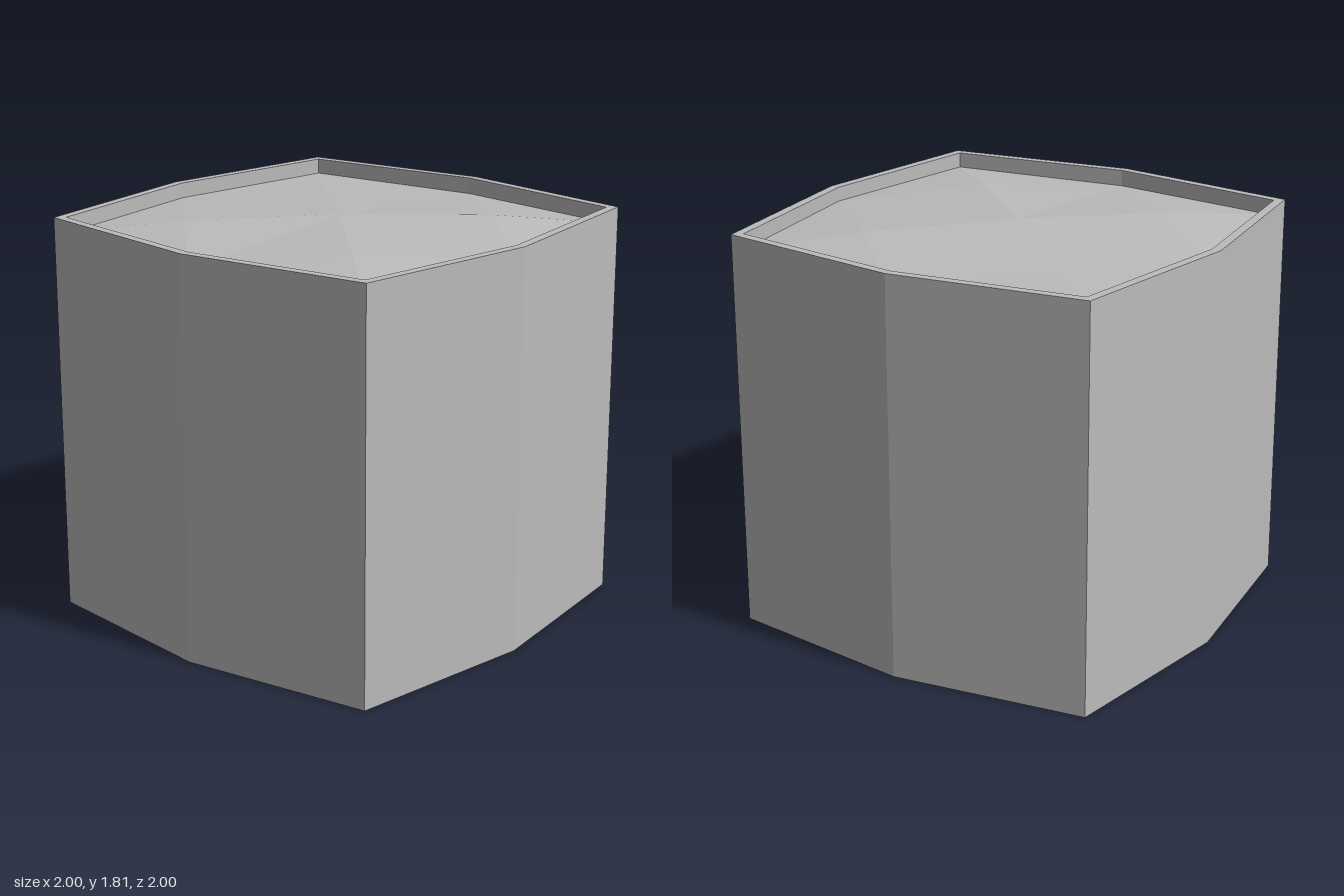
import * as THREE from 'three';

const HEIGHT = 1.81;

// Eight-sided outline, counter-clockwise from +x: edge midpoint, corner, ...
function outline(mid, corner) {
  const points = [];
  for (let i = 0; i < 8; i++) {
    const a = (i * Math.PI) / 4;
    const r = i % 2 ? corner * Math.SQRT2 : mid;
    points.push(new THREE.Vector2(r * Math.cos(a), r * Math.sin(a)));
  }
  return points;
}

export function createModel() {
  const model = new THREE.Group();
  const grey = new THREE.MeshStandardMaterial({ color: 0xbbbbbb });
  grey.name = 'plainGrey';

  const add = (name, geometry) => {
    const mesh = new THREE.Mesh(geometry, grey);
    mesh.name = name;
    model.add(mesh);
  };

  const inner = outline(0.957, 0.842);

  // Outer wall with its thin rim
  const wallShape = new THREE.Shape(outline(1, 0.88));
  wallShape.holes.push(new THREE.Path(inner));
  const wall = new THREE.ExtrudeGeometry(wallShape, { depth: HEIGHT, bevelEnabled: false });
  wall.rotateX(-Math.PI / 2);
  add('wall', wall);

  // Underside, closing the wall
  const base = new THREE.ShapeGeometry(new THREE.Shape(inner));
  base.rotateX(Math.PI / 2);
  add('base', base);

  // Gently mounded filling: four quarters, each fanned around its own middle point
  const edgeY = [1.735, 1.74, 1.74, 1.74, 1.735, 1.74, 1.745, 1.74];
  const middleY = [1.757, 1.785, 1.785, 1.785];
  const edge = inner.map((p, i) => new THREE.Vector3(p.x, edgeY[i], -p.y));
  const peak = new THREE.Vector3(0, 1.8, 0);
  const vertices = [];
  for (let k = 0; k < 4; k++) {
    const quad = [peak, edge[2 * k], edge[2 * k + 1], edge[(2 * k + 2) % 8]];
    const corner = quad[2];
    const middle = new THREE.Vector3(Math.sign(corner.x) * 0.48, middleY[k], Math.sign(corner.z) * 0.48);
    quad.forEach((p, i) => vertices.push(middle, p, quad[(i + 1) % 4]));
  }
  const filling = new THREE.BufferGeometry().setFromPoints(vertices);
  filling.computeVertexNormals();
  add('filling', filling);

  return model;
}
